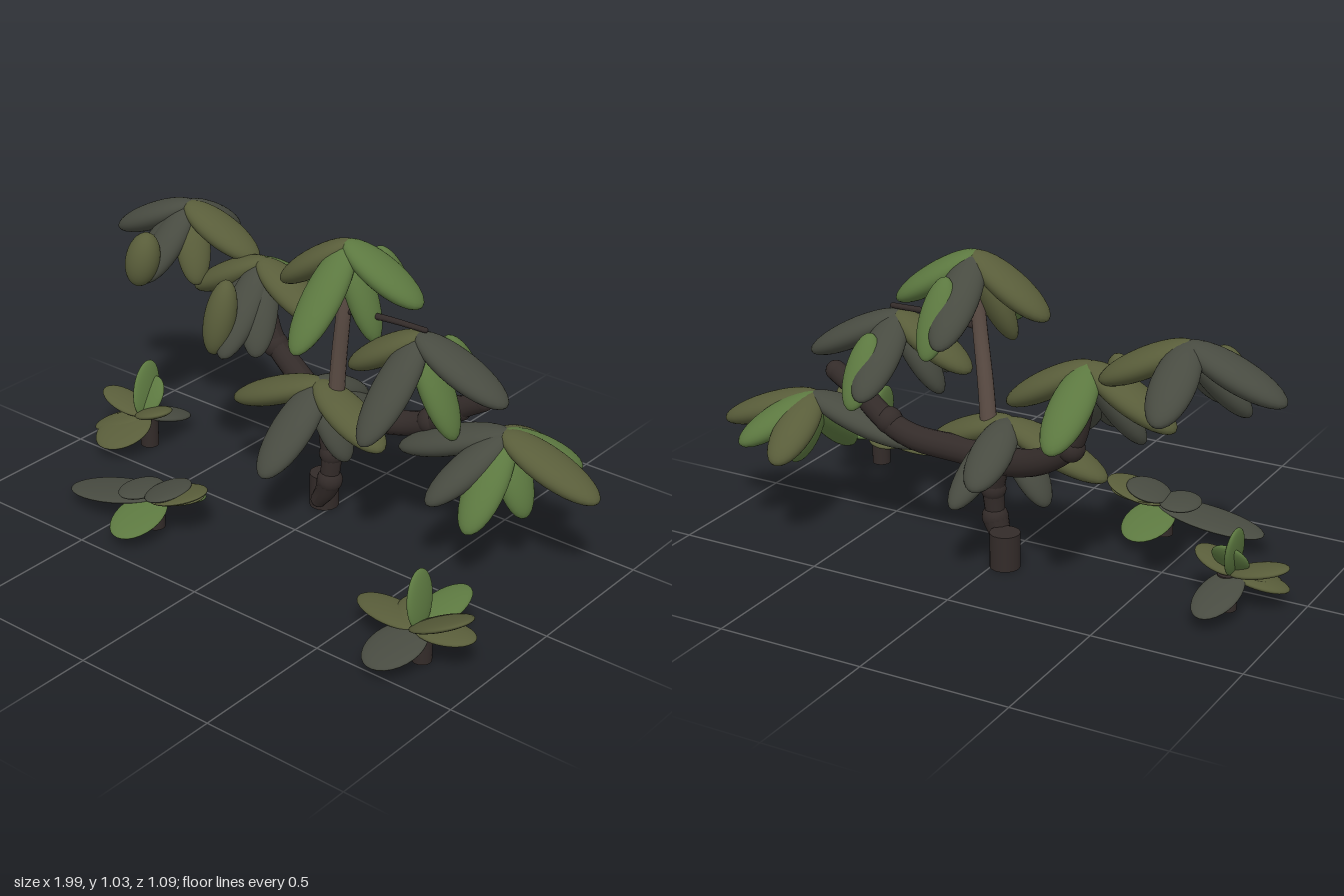
import * as THREE from 'three';

const mat = (color) => new THREE.MeshStandardMaterial({ color });
const MATS = {
  d: mat(0x484b41), // dark grey-green
  o: mat(0x595d3a), // olive
  g: mat(0x5c7840), // fresh green
  bark: mat(0x332b29),
  stem: mat(0x5c4d45),
};
const V = (p) => new THREE.Vector3(...p);
const leafGeo = new THREE.SphereGeometry(0.5, 28, 18);

// Flattened ellipsoid stretched from base to tip, broad face turned upward
function leaf(base, [x, y, z, tone, width = 0.155, side], thick) {
  const a = V(base), b = V([x, y, z]);
  const dir = b.clone().sub(a);
  // start slightly behind the shared centre so neighbouring leaves overlap
  a.addScaledVector(V([dir.x, 0, dir.z]).normalize(), -0.015);
  dir.copy(b).sub(a);
  const len = dir.length();
  dir.normalize();
  const wide = side ? V(side) : new THREE.Vector3(0, 1, 0).cross(dir);
  wide.addScaledVector(dir, -wide.dot(dir)).normalize();
  const normal = dir.clone().cross(wide);
  const m = new THREE.Mesh(leafGeo, MATS[tone]);
  m.name = 'leaf';
  m.quaternion.setFromRotationMatrix(new THREE.Matrix4().makeBasis(wide, normal, dir));
  m.position.copy(a).lerp(b, 0.5);
  m.scale.set(width, thick, len);
  return m;
}

function cluster(name, base, tips, thick = 0.092) {
  const g = new THREE.Group();
  g.name = name;
  tips.forEach((t) => g.add(leaf(base, t, thick)));
  return g;
}

// Tapering limb through a few points, with round ends and optional knots
function limb(name, pts, r0, r1, material = MATS.bark, knots = []) {
  const g = new THREE.Group();
  g.name = name;
  const curve = new THREE.CatmullRomCurve3(pts.map(V));
  const rows = 24, sides = 14;
  const geo = new THREE.TubeGeometry(curve, rows, 1, sides);
  const pos = geo.attributes.position, v = new THREE.Vector3();
  for (let i = 0; i < pos.count; i++) {
    const t = Math.floor(i / (sides + 1)) / rows;
    const c = curve.getPointAt(t);
    v.fromBufferAttribute(pos, i).sub(c).multiplyScalar(r0 + (r1 - r0) * t).add(c);
    pos.setXYZ(i, v.x, v.y, v.z);
  }
  geo.computeVertexNormals();
  g.add(new THREE.Mesh(geo, material));
  const balls = [[...pts[0], r0], [...pts[pts.length - 1], r1], ...knots];
  for (const [x, y, z, r] of balls) {
    const ball = new THREE.Mesh(new THREE.SphereGeometry(r, 16, 12), material);
    ball.name = 'knot';
    ball.position.set(x, y, z);
    g.add(ball);
  }
  return g;
}

function post(name, x, z, r, h) {
  const m = new THREE.Mesh(new THREE.CylinderGeometry(r, r, h, 24), MATS.bark);
  m.name = name;
  m.position.set(x, h / 2, z);
  return m;
}

export function createModel() {
  const root = new THREE.Group();
  root.name = 'tree and shrubs';

  // Trunk and boughs
  root.add(
    post('stump', -0.037, -0.2, 0.05, 0.12),
    limb('lowerTrunk', [[-0.02, 0.045, -0.15], [0.01, 0.09, -0.148], [0.03, 0.14, -0.145]], 0.028, 0.044),
    limb('trunk', [[0.03, 0.15, -0.145], [0.033, 0.24, -0.15], [0.02, 0.32, -0.16], [0.02, 0.4, -0.18]], 0.032, 0.045,
      MATS.bark, [[0.033, 0.24, -0.15, 0.042]]),
    limb('rightBough', [[0.02, 0.36, -0.17], [-0.1, 0.38, -0.22], [-0.22, 0.43, -0.26], [-0.31, 0.5, -0.27], [-0.36, 0.66, -0.27]],
      0.052, 0.03, MATS.bark, [[-0.31, 0.49, -0.27, 0.045]]),
    limb('leftBough', [[0.02, 0.36, -0.17], [0.15, 0.38, -0.21], [0.28, 0.4, -0.235], [0.38, 0.44, -0.235], [0.48, 0.52, -0.235], [0.57, 0.575, -0.235]],
      0.047, 0.034, MATS.bark, [[0.37, 0.44, -0.235, 0.045], [0.48, 0.52, -0.235, 0.042]]),
    limb('topStem', [[0.04, 0.42, -0.16], [0.06, 0.6, -0.15], [0.085, 0.78, -0.14], [0.1, 0.96, -0.14]], 0.028, 0.022, MATS.stem),
    limb('topTwig', [[0.1, 0.78, -0.145], [0.25, 0.797, -0.145], [0.4, 0.8, -0.15]], 0.012, 0.009),
  );

  // Drooping leaf clusters
  root.add(
    cluster('outerRightCluster', [-0.7, 0.9, -0.28], [
      [-1.0, 0.75, -0.25, 'd'], [-0.43, 0.75, -0.32, 'o'], [-0.72, 0.73, -0.54, 'd', 0.14],
      [-0.85, 0.66, -0.16, 'd', 0.13], [-0.74, 0.66, -0.08, 'd', 0.13], [-0.6, 0.65, -0.2, 'o', 0.12]]),
    cluster('innerRightCluster', [-0.375, 0.78, -0.28], [
      [-0.66, 0.61, -0.27, 'o'], [-0.1, 0.61, -0.29, 'o'], [-0.375, 0.575, -0.54, 'g', 0.14],
      [-0.36, 0.5, -0.05, 'd', 0.13], [-0.51, 0.51, -0.17, 'd', 0.13], [-0.28, 0.5, -0.13, 'd', 0.13]]),
    cluster('topCluster', [0.1, 1.02, -0.14], [
      [-0.15, 0.83, -0.12, 'o'], [0.35, 0.845, -0.2, 'g', 0.16], [0.1, 0.725, 0.13, 'g', 0.14],
      [0.08, 0.78, -0.41, 'd', 0.14], [0.01, 0.72, -0.05, 'o', 0.13], [0.21, 0.7, -0.15, 'g', 0.12]]),
    cluster('innerLeftCluster', [0.38, 0.78, -0.15], [
      [0.13, 0.61, -0.12, 'o'], [0.69, 0.61, -0.19, 'd', 0.16], [0.37, 0.495, 0.13, 'd', 0.14],
      [0.37, 0.56, -0.41, 'd', 0.14], [0.25, 0.51, -0.1, 'd', 0.13], [0.52, 0.45, -0.16, 'g', 0.14]]),
    cluster('lowCluster', [-0.02, 0.485, -0.15], [
      [-0.36, 0.335, -0.12, 'o'], [0.28, 0.35, -0.1, 'o'], [-0.035, 0.24, 0.13, 'd'],
      [-0.04, 0.34, -0.41, 'd', 0.14], [0.03, 0.27, -0.42, 'd', 0.12],
      [-0.18, 0.23, -0.18, 'd', 0.13], [0.1, 0.23, -0.15, 'd', 0.13]]),
    cluster('outerLeftCluster', [0.65, 0.485, -0.25], [
      [0.29, 0.345, -0.18, 'd', 0.16], [0.99, 0.345, -0.27, 'o', 0.16], [0.67, 0.225, -0.02, 'g', 0.14],
      [0.64, 0.325, -0.5, 'o', 0.14], [0.53, 0.29, 0.0, 'd', 0.13], [0.82, 0.34, -0.44, 'g', 0.14],
      [0.75, 0.22, -0.23, 'g', 0.13]]),
  );

  // Loose leaves hanging in front of or behind the clusters
  root.add(
    leaf([-0.735, 0.84, -0.09], [-0.75, 0.655, -0.06, 'o', 0.125], 0.115),
    leaf([-0.39, 0.76, -0.1], [-0.41, 0.5, -0.06, 'o', 0.115], 0.105),
    leaf([0.13, 0.97, -0.28], [0.13, 0.735, -0.4, 'g', 0.11], 0.07),
    leaf([0.41, 0.74, -0.28], [0.41, 0.52, -0.4, 'g', 0.11], 0.07),
  );

  // Ground shrubs: short post with spreading leaves
  root.add(
    post('rightShrubStem', -0.785, -0.135, 0.032, 0.12),
    cluster('rightShrubLeaves', [-0.8, 0.12, -0.12], [
      [-0.98, 0.17, -0.12, 'o', 0.12], [-0.665, 0.175, -0.1, 'o', 0.12], [-0.84, 0.05, 0.06, 'o', 0.2],
      [-0.78, 0.05, -0.33, 'd', 0.14], [-0.83, 0.295, -0.2, 'g', 0.12, [0, 0, 1]],
      [-0.8, 0.24, -0.2, 'g', 0.12], [-0.95, 0.06, -0.03, 'o', 0.13]], 0.035),
    post('middleShrubStem', -0.375, 0.275, 0.032, 0.11),
    cluster('middleShrubLeaves', [-0.37, 0.115, 0.27], [
      [-0.72, 0.05, 0.31, 'd', 0.18], [-0.36, 0.05, 0.475, 'g', 0.17], [-0.36, 0.05, 0.07, 'g', 0.17],
      [-0.18, 0.175, 0.25, 'o', 0.17]], 0.03),
    cluster('middleShrubTopLeaves', [-0.38, 0.13, 0.28], [
      [-0.5, 0.12, 0.28, 'd', 0.17], [-0.25, 0.17, 0.25, 'd', 0.18], [-0.2, 0.15, 0.23, 'o', 0.15]], 0.03),
    post('leftShrubStem', 0.78, 0.345, 0.032, 0.12),
    cluster('leftShrubLeaves', [0.77, 0.115, 0.35], [
      [0.51, 0.1, 0.3, 'o', 0.13], [0.72, 0.05, 0.54, 'd', 0.18], [0.98, 0.24, 0.4, 'o', 0.16],
      [0.8, 0.17, 0.14, 'g', 0.13], [0.75, 0.3, 0.325, 'g', 0.12, [0, 0, 1]],
      [0.95, 0.12, 0.31, 'o', 0.13], [0.66, 0.12, 0.22, 'o', 0.13]], 0.035),
  );
  return root;
}
